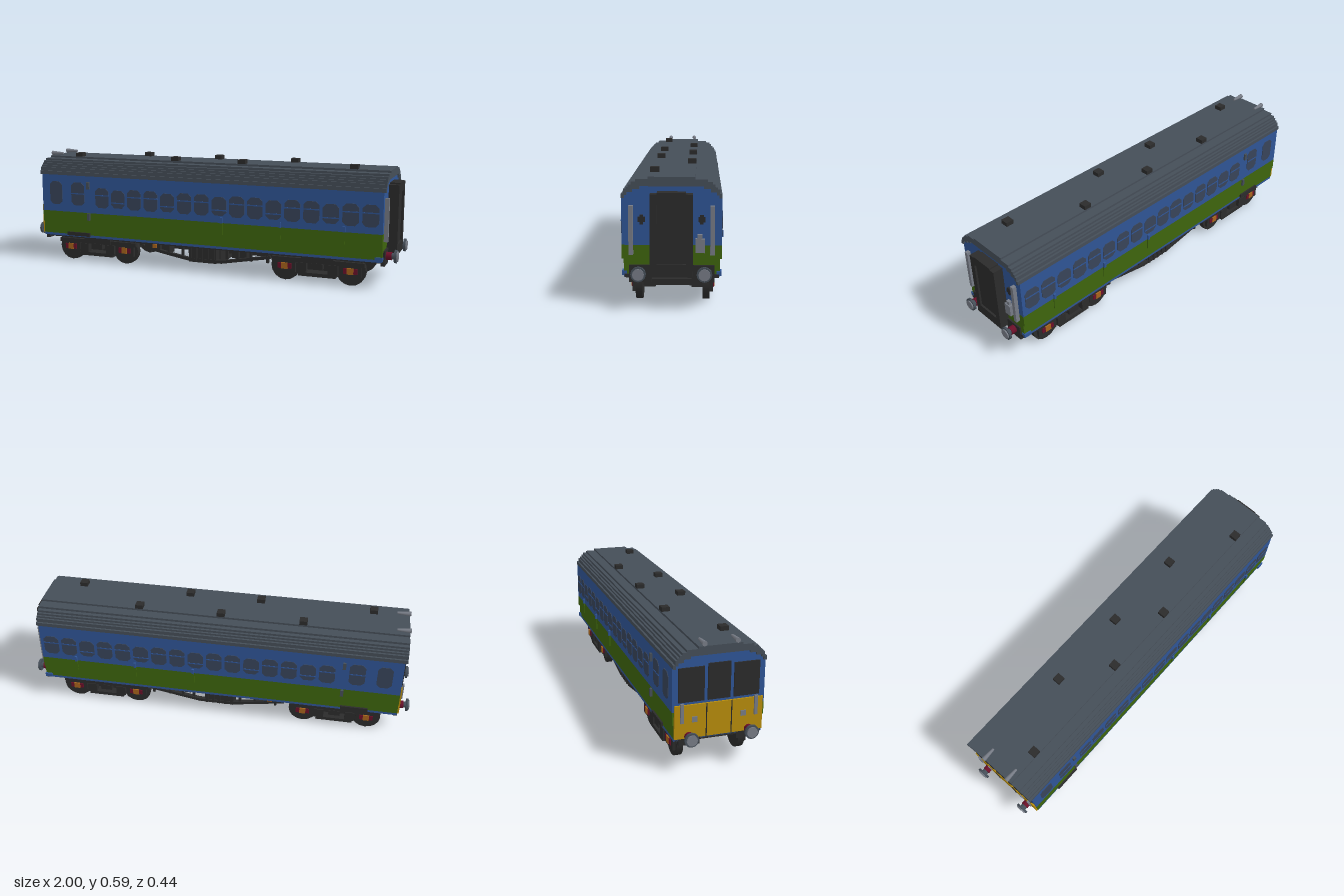
import * as THREE from 'three';

const mat = (name, color, side = THREE.FrontSide) => {
  const m = new THREE.MeshStandardMaterial({ color, side });
  m.name = name;
  return m;
};

export function createModel() {
  const M = {
    blue: mat('blue paint', 0x2f5596), green: mat('green paint', 0x3e650d),
    roof: mat('roof slate', 0x454e58), dark: mat('dark metal', 0x2b2b2b),
    glass: mat('window glass', 0x38445a), grey: mat('light grey', 0x777c86),
    yellow: mat('yellow panel', 0xb88d0c), orange: mat('orange box', 0xa8641c),
    red: mat('dark red', 0x6b1029),
  };
  const root = new THREE.Group();
  root.name = 'railCoach';

  const add = (name, geo, m, parent = root) => {
    const mesh = new THREE.Mesh(geo, m);
    mesh.name = name;
    parent.add(mesh);
    return mesh;
  };
  // Box from its limits on each axis
  const box = (name, m, x0, x1, y0, y1, z0, z1, parent = root) => {
    const g = new THREE.BoxGeometry(x1 - x0, y1 - y0, z1 - z0);
    g.translate((x0 + x1) / 2, (y0 + y1) / 2, (z0 + z1) / 2);
    return add(name, g, m, parent);
  };
  // The same box on both sides of the centre line
  const pair = (name, m, x0, x1, y0, y1, z0, z1, parent = root) => {
    box(name, m, x0, x1, y0, y1, z0, z1, parent);
    box(name, m, x0, x1, y0, y1, -z1, -z0, parent);
  };
  // Symmetric half profile [z, y] swept along x
  const mirror = (half) => [...half, ...half.map(([z, y]) => [-z, y]).reverse()];
  const sweep = (name, m, pts, x0, x1) => {
    const s = new THREE.Shape(pts.map(([z, y]) => new THREE.Vector2(z, y)));
    const g = new THREE.ExtrudeGeometry(s, { depth: x1 - x0, bevelEnabled: false });
    g.rotateY(Math.PI / 2);
    g.translate(x0, 0, 0);
    return add(name, g, m);
  };

  // Body shell
  const inner = [[0.2, 0.476], [0.2, 0.49], [0.19, 0.49], [0.19, 0.502], [0.165, 0.502],
    [0.165, 0.516], [0.135, 0.516], [0.135, 0.527]];
  const outer = [[0.2125, 0.476], [0.2125, 0.495], [0.203, 0.495], [0.203, 0.514], [0.193, 0.514],
    [0.193, 0.524], [0.183, 0.524], [0.183, 0.535], [0.172, 0.535], [0.172, 0.546],
    [0.152, 0.546], [0.152, 0.557], [0.1, 0.557], [0.1, 0.567]];
  sweep('upperBody', M.blue, mirror([[0.2125, 0.275], [0.2125, 0.476], ...inner]), -0.94, 0.935);
  sweep('lowerBody', M.green,
    mirror([[0.204, 0.15], [0.204, 0.215], [0.2125, 0.215], [0.2125, 0.275]]), -0.94, 0.935);
  box('sill', M.blue, -0.94, 0.935, 0.137, 0.15, -0.204, 0.204);
  box('floor', M.dark, -0.935, 0.93, 0.132, 0.137, -0.195, 0.195);
  sweep('roof', M.roof, [...mirror(outer), ...mirror(inner).reverse()], -0.952, 0.945);

  // Roof ventilators and horns
  for (const [x, z] of [[-0.425, -0.08], [-0.005, -0.08], [0.42, -0.08],
    [-0.77, 0.08], [-0.19, 0.08], [0.185, 0.08], [0.765, 0.08]]) {
    box('roofVent', M.dark, x - 0.02, x + 0.02, 0.567, 0.588, z - 0.02, z + 0.02);
  }
  for (const s of [-1, 1]) {
    const horn = add('horn', new THREE.CylinderGeometry(0.006, 0.012, 0.07, 8), M.grey);
    horn.rotation.z = -Math.PI / 2;
    horn.position.set(-0.922, 0.579, s * 0.075);
  }

  // Windows: thin plates with clipped corners
  const pane = (w, h, c) => {
    const a = w / 2, b = h / 2;
    const s = new THREE.Shape([[a - c, -b], [a, c - b], [a, b - c], [a - c, b],
      [c - a, b], [-a, b - c], [-a, c - b], [c - a, -b]].map((p) => new THREE.Vector2(...p)));
    const g = new THREE.ExtrudeGeometry(s, { depth: 0.004, bevelEnabled: false });
    return g.translate(0, 0, -0.002);
  };
  const sideWindow = (x, y, w, h, barY) => {
    for (const s of [-1, 1]) {
      add('sideWindow', pane(w, h, 0.018), M.glass).position.set(x, y, s * 0.2135);
      if (barY) {
        box('windowBar', M.blue, x - w / 2, x + w / 2, barY - 0.003, barY + 0.003,
          s * 0.214 - 0.003, s * 0.214 + 0.003);
      }
    }
  };
  sideWindow(-0.853, 0.377, 0.076, 0.126);
  sideWindow(-0.717, 0.377, 0.08, 0.126, 0.378);
  for (let i = 0; i < 16; i++) {
    const low = i % 3 === 1;
    sideWindow(-0.568 + i * 0.0963, low ? 0.36 : 0.362, 0.08, low ? 0.096 : 0.108, low ? 0.34 : 0.376);
  }

  // Side fittings
  pair('doorHandle', M.roof, -0.658, -0.642, 0.407, 0.445, 0.2125, 0.2225);
  pair('doorHandle', M.roof, -0.658, -0.642, 0.235, 0.273, 0.2125, 0.2225);
  for (const x of [0.12, 0.43, 0.75]) {
    pair('sideCatchTop', M.blue, x - 0.006, x + 0.006, 0.275, 0.303, 0.2125, 0.2225);
    pair('sideCatchBase', M.green, x - 0.006, x + 0.006, 0.215, 0.275, 0.2125, 0.2175);
  }
  pair('footStep', M.dark, -0.79, -0.65, 0.143, 0.163, 0.2, 0.213);
  pair('cornerStep', M.blue, 0.9, 0.938, 0.143, 0.163, 0.19, 0.212);

  // Gangway end
  box('gangway', M.dark, 0.935, 0.975, 0.15, 0.498, -0.09, 0.09);
  box('gangwayHood', M.dark, 0.935, 0.985, 0.485, 0.505, -0.06, 0.06);
  pair('gangwayFrame', M.dark, 0.97, 0.985, 0.15, 0.498, 0.062, 0.09);
  box('gangwayFrame', M.dark, 0.97, 0.985, 0.15, 0.202, -0.062, 0.062);
  box('gangwayFrame', M.dark, 0.97, 0.985, 0.455, 0.498, -0.062, 0.062);
  pair('endRail', M.grey, 0.935, 0.955, 0.235, 0.445, 0.163, 0.182);
  pair('endLampBar', M.dark, 0.935, 0.942, 0.375, 0.397, 0.112, 0.143);
  pair('endLampPost', M.dark, 0.935, 0.942, 0.365, 0.405, 0.12, 0.135);
  box('connectorBox', M.grey, 0.935, 0.955, 0.245, 0.305, -0.14, -0.101);
  box('connectorCap', M.grey, 0.935, 0.95, 0.305, 0.323, -0.131, -0.11);

  // Driving end
  box('yellowEnd', M.yellow, -0.948, -0.94, 0.15, 0.305, -0.204, 0.204);
  box('cabDoorWindow', M.dark, -0.946, -0.94, 0.318, 0.485, -0.052, 0.052);
  pair('cabWindow', M.dark, -0.946, -0.94, 0.318, 0.475, 0.068, 0.186);
  pair('cabRail', M.grey, -0.956, -0.946, 0.225, 0.315, 0.163, 0.178);
  pair('cabLamp', M.grey, -0.953, -0.947, 0.225, 0.25, 0.1, 0.125);
  pair('doorEdge', M.dark, -0.951, -0.947, 0.15, 0.305, 0.056, 0.06);

  // Buffers, buffer beams and couplings
  for (const e of [-1, 1]) {
    const end = new THREE.Group();
    end.name = 'bufferEnd';
    end.scale.x = 1;
    if (e < 0) end.rotation.y = Math.PI;
    root.add(end);
    pair('bufferBeam', M.dark, 0.925, 0.943, 0.115, 0.19, 0.085, 0.182, end);
    box('beamBottom', M.dark, 0.92, 0.94, 0.135, 0.15, -0.2, 0.2, end);
    for (const s of [-1, 1]) {
      const part = (name, m, r, x0, x1) => {
        const c = add(name, new THREE.CylinderGeometry(r, r, x1 - x0, 12), m, end);
        c.rotation.z = Math.PI / 2;
        c.position.set((x0 + x1) / 2, 0.16, s * 0.139);
      };
      part('bufferShaft', M.red, 0.02, 0.94, 0.97);
      part('bufferCollar', M.roof, 0.016, 0.965, 0.987);
      part('bufferHead', M.roof, 0.033, 0.983, 0.994);
      part('bufferFace', M.grey, 0.025, 0.99, 1.0);
    }
  }

  // Bogies
  for (const bx of [-0.623, 0.612]) {
    const b = new THREE.Group();
    b.name = 'bogie';
    b.position.x = bx;
    root.add(b);
    pair('sideFrame', M.dark, -0.235, 0.235, 0.098, 0.12, 0.155, 0.178, b);
    pair('bogieMount', M.dark, -0.08, 0.08, 0.1, 0.135, 0.085, 0.18, b);
    pair('springPlank', M.dark, -0.095, 0.095, 0.032, 0.05, 0.082, 0.182, b);
    pair('springSeat', M.dark, -0.105, -0.055, 0.045, 0.098, 0.15, 0.182, b);
    pair('springSeat', M.dark, 0.055, 0.105, 0.045, 0.098, 0.15, 0.182, b);
    pair('springPost', M.dark, -0.03, 0.03, 0.07, 0.1, 0.15, 0.182, b);
    box('bolster', M.dark, -0.06, 0.06, 0.06, 0.11, -0.15, 0.15, b);
    for (const ax of [-0.166, 0.166]) {
      for (const s of [-1, 1]) {
        const wheel = add('wheel', new THREE.CylinderGeometry(0.074, 0.074, 0.03, 16), M.dark, b);
        wheel.rotation.x = Math.PI / 2;
        wheel.position.set(ax, 0.074, s * 0.147);
      }
      box('axle', M.dark, ax - 0.014, ax + 0.014, 0.062, 0.09, -0.14, 0.14, b);
      pair('axleGuard', M.dark, ax - 0.055, ax + 0.055, 0.045, 0.11, 0.16, 0.177, b);
      pair('axleBoxSides', M.red, ax - 0.035, ax + 0.035, 0.062, 0.09, 0.17, 0.181, b);
      pair('axleBox', M.orange, ax - 0.016, ax + 0.016, 0.06, 0.092, 0.17, 0.184, b);
    }
  }

  // Underframe: solebars, sagging trusses and equipment boxes
  pair('solebar', M.dark, -0.9, 0.9, 0.122, 0.135, 0.1, 0.165);
  const truss = [[-0.35, 0.105], [-0.2, 0.078], [-0.08, 0.058], [0.1, 0.058], [0.22, 0.08], [0.36, 0.105]];
  for (let i = 0; i < truss.length - 1; i++) {
    const [x0, y0] = truss[i], [x1, y1] = truss[i + 1];
    for (const s of [-1, 1]) {
      const bar = add('trussBar', new THREE.BoxGeometry(Math.hypot(x1 - x0, y1 - y0) + 0.01, 0.016, 0.02), M.dark);
      bar.position.set((x0 + x1) / 2, (y0 + y1) / 2, s * 0.155);
      bar.rotation.z = Math.atan2(y1 - y0, x1 - x0);
    }
  }
  for (const x of [-0.31, -0.2, -0.12, 0.13, 0.19, 0.26, 0.35]) {
    pair('trussPost', M.dark, x - 0.006, x + 0.006, 0.075, 0.135, 0.147, 0.163);
  }
  box('engineCase', M.dark, -0.09, 0.075, 0.036, 0.11, -0.11, 0.11);
  pair('equipmentBox', M.dark, -0.085, 0.07, 0.045, 0.135, 0.09, 0.16);
  for (let i = 0; i < 5; i++) {
    const x = -0.075 + i * 0.033;
    pair('coolingRib', M.dark, x - 0.006, x + 0.006, 0.05, 0.125, 0.16, 0.168);
  }
  pair('sideTank', M.dark, -0.25, -0.2, 0.075, 0.135, 0.09, 0.14);
  pair('sideTank', M.dark, 0.15, 0.23, 0.08, 0.135, 0.09, 0.14);
  box('driveShaft', M.dark, -0.45, 0.45, 0.074, 0.092, -0.02, 0.02);
  pair('fillerBox', M.dark, -0.34, -0.25, 0.095, 0.13, 0.13, 0.165);
  pair('fillerCap', M.orange, -0.292, -0.268, 0.103, 0.124, 0.16, 0.17);

  return root;
}
